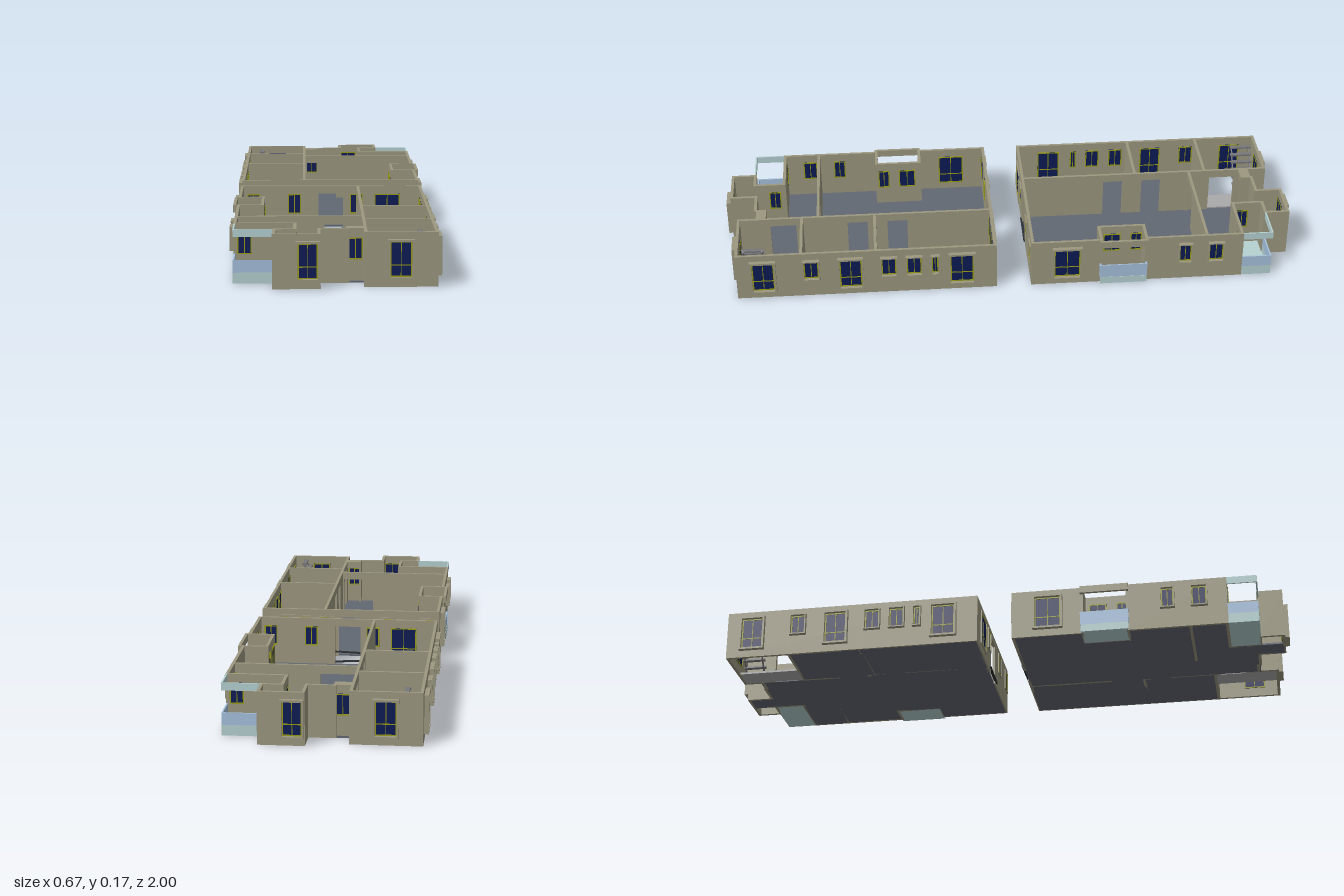
import * as THREE from 'three';

const H = 0.173, T = 0.01;
const mat = (color) => {
  const m = new THREE.MeshStandardMaterial({ side: THREE.DoubleSide });
  m.color.set(color);
  return m;
};

export function createModel() {
  const M = {
    wall: mat(0x9c9880), floor: mat(0x626873), landing: mat(0xaaaaaa), dark: mat(0x2c2f33),
    pane: mat(0x0c1a55), sash: mat(0x9a9c18), aqua: mat(0xb6d2d2), rail: mat(0xa6c1de), step: mat(0x77777a),
  };

  // Box from its minimum and maximum corners
  function box(parent, name, m, x0, x1, y0, y1, z0, z1) {
    const mesh = new THREE.Mesh(new THREE.BoxGeometry(x1 - x0, y1 - y0, z1 - z0), m);
    mesh.position.set((x0 + x1) / 2, (y0 + y1) / 2, (z0 + z1) / 2);
    mesh.name = name;
    parent.add(mesh);
    return mesh;
  }

  // Four bars round a rectangle in the local xy plane
  function border(parent, name, m, x0, x1, y0, y1, b, z0, z1) {
    box(parent, name, m, x0, x1, y1 - b, y1, z0, z1);
    box(parent, name, m, x0, x1, y0, y0 + b, z0, z1);
    box(parent, name, m, x0, x0 + b, y0 + b, y1 - b, z0, z1);
    box(parent, name, m, x1 - b, x1, y0 + b, y1 - b, z0, z1);
  }

  // Window on a wall: size 'big' reaches near the floor, with a transom bar
  function addWindow(parent, c, w, big, depth) {
    const g = new THREE.Group();
    g.name = 'window';
    const x0 = c - w / 2, x1 = c + w / 2, y0 = big ? 0.032 : 0.074, y1 = 0.144;
    const rim = big ? 0.007 : 0.004;
    if (depth) border(g, 'casing', M.wall, x0 - rim, x1 + rim, y0 - rim, y1 + rim, rim, 0, T / 2 + depth);
    box(g, 'pane', M.pane, x0, x1, y0, y1, -0.0065, 0.0065);
    border(g, 'sash', M.sash, x0, x1, y0, y1, 0.004, -0.008, 0.008);
    box(g, 'mullion', M.sash, c - 0.0013, c + 0.0013, y0, y1, -0.0075, 0.0075);
    if (big) box(g, 'transom', M.sash, x0, x1, 0.068, 0.0715, -0.0075, 0.0075);
    parent.add(g);
  }

  // Wall along x or z; windows [centre, width, big] and doors [from, to]
  // are given in the coordinate along which the wall runs.
  function wall(parent, name, x0, z0, x1, z1, windows = [], doors = [], depth = 0.015) {
    const g = new THREE.Group();
    g.name = name;
    g.position.set(x0, 0, z0);
    g.rotation.y = Math.atan2(z0 - z1, x1 - x0);
    const len = Math.hypot(x1 - x0, z1 - z0);
    const along = (v) => Math.abs(v - (x0 === x1 ? z0 : x0));
    const s = new THREE.Shape();
    s.moveTo(-T / 2, 0);
    const gaps = doors.map((d) => d.map(along).sort((a, b) => a - b)).sort((a, b) => a[0] - b[0]);
    for (const [a, b] of gaps) {
      s.lineTo(a, 0); s.lineTo(a, 0.145); s.lineTo(b, 0.145); s.lineTo(b, 0);
    }
    s.lineTo(len + T / 2, 0); s.lineTo(len + T / 2, H); s.lineTo(-T / 2, H);
    const geo = new THREE.ExtrudeGeometry(s, { depth: T, bevelEnabled: false });
    geo.translate(0, 0, -T / 2);
    const mesh = new THREE.Mesh(geo, M.wall);
    mesh.name = name + 'Panel';
    g.add(mesh);
    for (const [c, w, big] of windows) addWindow(g, along(c), w, big, depth);
    parent.add(g);
  }

  function buildHalf() {
    const h = new THREE.Group();
    h.name = 'apartment';

    // Floors
    box(h, 'floor', M.floor, -0.315, 0.095, 0, 0.006, 0.065, 0.3);
    box(h, 'floor', M.floor, -0.235, 0.095, 0, 0.006, 0.3, 0.46);
    box(h, 'floor', M.floor, -0.315, 0.095, 0, 0.006, 0.46, 0.795);
    box(h, 'floor', M.floor, 0.095, 0.315, 0, 0.006, 0.065, 0.73);
    box(h, 'floor', M.floor, -0.125, 0.095, 0, 0.006, 0.795, 0.893);
    box(h, 'floor', M.floor, -0.125, -0.05, 0, 0.006, 0.893, 0.98);

    // Long outer walls
    wall(h, 'rightWall', 0.315, 0.95, 0.315, 0.065, [
      [0.863, 0.075, true], [0.698, 0.05], [0.563, 0.075, true], [0.432, 0.05],
      [0.345, 0.05], [0.273, 0.022], [0.18, 0.08, true]]);
    wall(h, 'leftWall', -0.315, 0.065, -0.315, 0.303, [[0.185, 0.09, true]]);
    wall(h, 'leftWall', -0.315, 0.46, -0.315, 0.795, [[0.597, 0.042], [0.705, 0.05]]);

    // Wall facing the other apartment, with its entrance
    wall(h, 'innerEndWall', 0.315, 0.065, -0.315, 0.065,
      [[0.2, 0.09, true], [0.09, 0.046], [-0.13, 0.046], [-0.275, 0.046]], [[-0.045, 0.045]], 0.005);
    box(h, 'threshold', M.dark, -0.07, 0.07, 0.012, 0.017, 0.055, 0.064).rotation.z = 0.04;

    // Recessed side balcony
    wall(h, 'balconyReturn', -0.315, 0.303, -0.235, 0.303);
    wall(h, 'balconyBack', -0.235, 0.303, -0.235, 0.46, [[0.35, 0.06], [0.435, 0.04]], [], 0);
    wall(h, 'balconyReturn', -0.235, 0.46, -0.315, 0.46);
    box(h, 'balconyFloor', M.aqua, -0.33, -0.24, 0, 0.008, 0.303, 0.46);
    box(h, 'balconyCurb', M.aqua, -0.333, -0.327, 0, 0.026, 0.3, 0.463);
    box(h, 'balconyRail', M.rail, -0.332, -0.328, 0.026, 0.075, 0.3, 0.463);
    box(h, 'balconyLintel', M.wall, -0.333, -0.323, 0.148, H, 0.298, 0.465);
    for (const z of [0.298, 0.458]) {
      box(h, 'balconyRailEnd', M.rail, -0.333, -0.318, 0.026, 0.075, z, z + 0.006);
      box(h, 'balconyLintelEnd', M.wall, -0.333, -0.31, 0.148, H, z, z + 0.006);
    }

    // Corner balcony: floor, glass parapet and open ring above
    wall(h, 'cornerBalconyBack', -0.315, 0.795, -0.125, 0.795, [[-0.285, 0.046]], [], 0);
    wall(h, 'cornerBalconySide', -0.125, 0.795, -0.125, 0.9, [[0.83, 0.042]], [], 0);
    box(h, 'cornerBalconyFloor', M.aqua, -0.317, -0.13, 0, 0.008, 0.8, 0.9);
    const bands = [[0, 0.035, M.aqua, 'curb'], [0.035, 0.075, M.rail, 'parapet'], [0.148, H, M.aqua, 'canopyRing']];
    for (const [y0, y1, m, name] of bands) {
      box(h, name, m, -0.319, -0.19, y0, y1, 0.898, 0.903);
      box(h, name, m, -0.319, -0.314, y0, y1, 0.8, 0.898);
    }

    // Projecting front bay
    wall(h, 'bayBack', -0.19, 0.9, -0.125, 0.9);
    wall(h, 'bayLeft', -0.19, 0.9, -0.19, 0.98);
    wall(h, 'bayFront', -0.19, 0.98, -0.05, 0.98, [[-0.085, 0.062, true]]);
    wall(h, 'bayRight', -0.05, 0.98, -0.05, 0.893);

    // Recessed entrance between bay and stairwell
    wall(h, 'entranceWall', -0.05, 0.893, 0.04, 0.893);
    wall(h, 'entranceWindowWall', 0.04, 0.885, 0.09, 0.885, [[0.064, 0.046]], [], 0);
    box(h, 'entrancePier', M.wall, 0.038, 0.095, 0.148, H, 0.855, 0.89);
    box(h, 'entrancePier', M.wall, 0.036, 0.044, 0, H, 0.855, 0.89);

    // Stairwell with landing and flight
    wall(h, 'stairwellFront', 0.095, 0.95, 0.315, 0.95, [[0.204, 0.068, true]]);
    wall(h, 'stairwellLeft', 0.095, 0.73, 0.095, 0.95, [], [[0.75, 0.84]]);
    wall(h, 'stairwellBack', 0.315, 0.73, 0.095, 0.73);
    box(h, 'landing', M.landing, 0.1, 0.18, 0, 0.007, 0.735, 0.945);
    const n = 7, run = 0.12 / n, rise = 0.15 / n;
    for (let i = 0; i < n; i++) {
      const x = 0.155 + i * run, y = 0.012 + (i + 1) * rise;
      box(h, 'stairTread', M.step, x, x + run * 0.9, y - 0.006, y, 0.857, 0.935);
    }
    for (const z of [0.862, 0.926]) {
      const s = box(h, 'stairStringer', M.step, -0.095, 0.095, -0.004, 0.004, z, z + 0.004);
      s.position.set(0.215, 0.087, z + 0.002);
      s.rotation.z = Math.atan2(0.15, 0.12);
    }

    // Room dividers
    wall(h, 'longDivider', 0.095, 0.065, 0.095, 0.73, [], [[0.36, 0.43], [0.5, 0.57]]);
    wall(h, 'roomDivider', 0.095, 0.475, 0.315, 0.475);
    wall(h, 'hallDivider', -0.315, 0.672, 0.095, 0.672, [], [[-0.03, 0.085]]);
    return h;
  }

  // Two identical halves, the second turned half round
  const model = new THREE.Group();
  model.name = 'apartmentFloor';
  const front = buildHalf();
  const back = front.clone();
  back.rotation.y = Math.PI;
  front.name = 'frontApartment';
  back.name = 'backApartment';
  model.add(front, back);
  return model;
}
